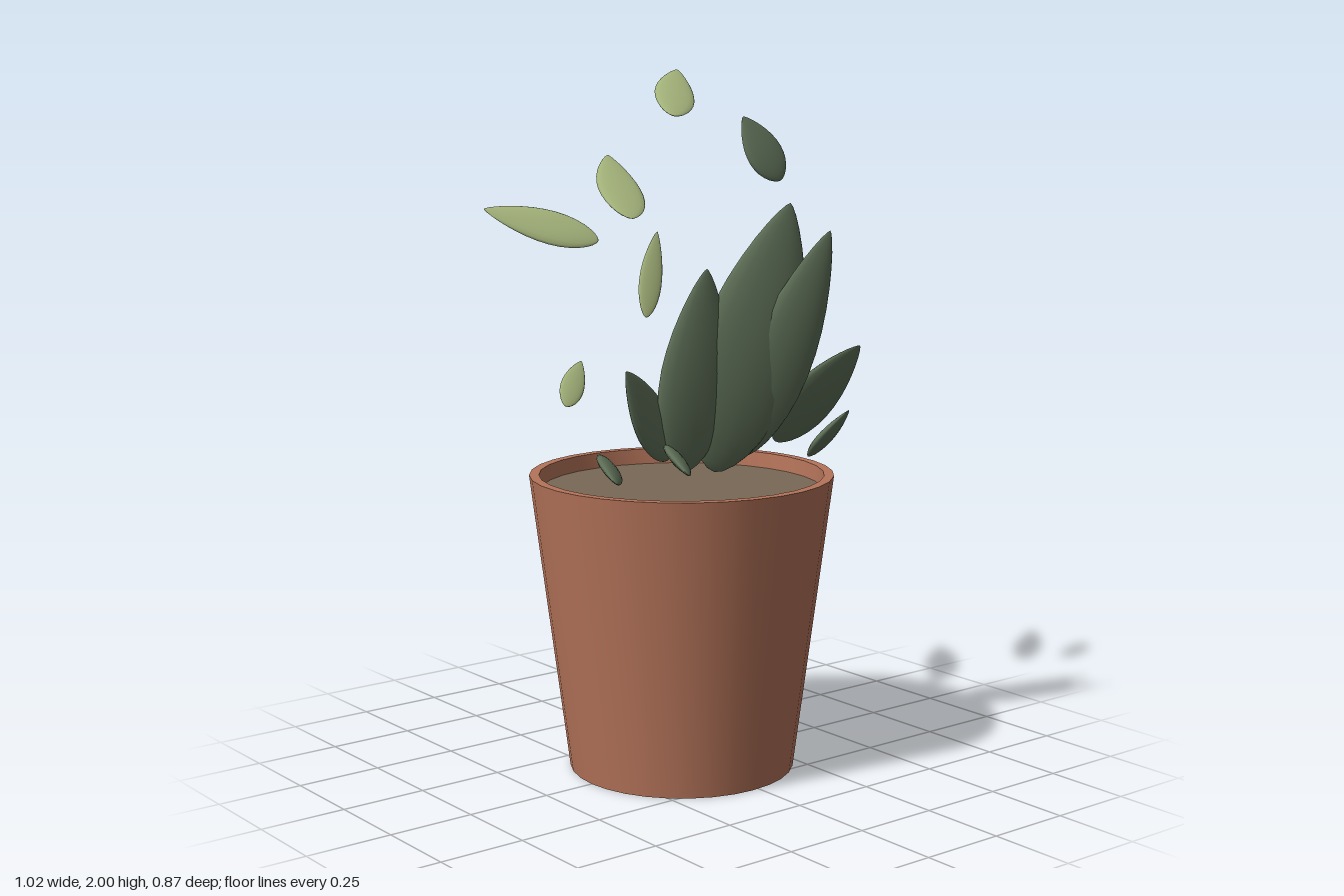
import * as THREE from 'three';
import { mergeVertices, toCreasedNormals } from 'three/addons/utils/BufferGeometryUtils.js';

const mat = (name, color) => {
  const m = new THREE.MeshStandardMaterial({ color });
  m.name = name;
  return m;
};

// A pointed, lens-shaped leaf running from base to tip, its flat face along `facing`
function leaf(name, material, base, tip, facing, width, thickness) {
  const b = new THREE.Vector3(...base);
  const axis = new THREE.Vector3(...tip).sub(b);
  const length = axis.length();
  axis.normalize();
  const n = new THREE.Vector3(...facing);
  n.addScaledVector(axis, -n.dot(axis)).normalize();
  const side = new THREE.Vector3().crossVectors(axis, n);

  let geo = new THREE.SphereGeometry(1, 16, 16);
  const p = geo.attributes.position;
  for (let i = 0; i < p.count; i++) {
    const t = THREE.MathUtils.clamp((p.getY(i) + 1) / 2, 0, 1);
    const r = Math.hypot(p.getX(i), p.getZ(i)) || 1;
    // blunt at the base, widest below the middle, tapering to the tip
    const w = Math.pow(Math.max(0, Math.sin(Math.PI * Math.pow(t, 0.78))), 0.75);
    p.setXYZ(i, (p.getX(i) / r) * w * width / 2, t * length, (p.getZ(i) / r) * w * thickness / 2);
  }
  geo.deleteAttribute('uv');
  geo.deleteAttribute('normal');
  geo = mergeVertices(geo, 1e-5);
  geo.applyMatrix4(new THREE.Matrix4().makeBasis(side, axis, n).setPosition(b));
  geo.computeVertexNormals();
  const mesh = new THREE.Mesh(geo, material);
  mesh.name = name;
  return mesh;
}

export function createModel() {
  const model = new THREE.Group();
  model.name = 'pottedPlant';
  const terracotta = mat('terracotta', 0xb5745a);
  const earth = mat('earth', 0x786857);
  const dark = mat('darkGreen', 0x5f7058);
  const light = mat('lightGreen', 0xa6b57c);

  // Tapered pot with a thin rim
  const profile = [[0, 0], [0.325, 0], [0.436, 0.86], [0.408, 0.86], [0.402, 0.79]]
    .map(([x, y]) => new THREE.Vector2(x, y));
  const pot = new THREE.Mesh(toCreasedNormals(new THREE.LatheGeometry(profile, 32), 0.6), terracotta);
  pot.name = 'pot';
  pot.position.x = -0.02;
  model.add(pot);

  // Soil just below the rim
  const soil = new THREE.Mesh(new THREE.CircleGeometry(0.405, 32), earth);
  soil.name = 'soil';
  soil.rotation.x = -Math.PI / 2;
  soil.position.set(-0.02, 0.815, 0);
  model.add(soil);

  const addLeaves = (groupName, leafName, material, list) => {
    const group = new THREE.Group();
    group.name = groupName;
    list.forEach((args, i) => group.add(leaf(leafName + (i + 1), material, ...args)));
    model.add(group);
  };

  // base, tip, facing, width, thickness
  addLeaves('centralLeaves', 'centralLeaf', dark, [
    [[0.06, 0.86, 0.05], [0.22, 1.63, 0.19], [-0.4, -0.1, 0.9], 0.31, 0.09],
    [[0.15, 0.9, 0.07], [0.285, 1.555, 0.285], [-0.5, -0.2, 0.85], 0.19, 0.06],
    [[-0.04, 0.87, 0.04], [0.0, 1.45, 0.09], [-0.15, -0.1, 0.95], 0.23, 0.07],
    [[-0.08, 0.91, 0.02], [-0.262, 1.18, 0.06], [0.2, 0.2, 0.95], 0.15, 0.04],
  ]);
  addLeaves('lowLeaves', 'lowLeaf', dark, [
    [[0.27, 0.93, 0.07], [0.47, 1.21, 0.215], [0, -0.45, 0.9], 0.21, 0.05],
    [[0.42, 0.865, 0.05], [0.49, 1.01, 0.15], [0.3, -0.6, 0.7], 0.115, 0.035],
    [[-0.35, 0.95, 0.08], [-0.483, 0.93, 0.312], [0.6, 0.75, 0.3], 0.085, 0.03],
    [[-0.127, 0.955, 0.08], [-0.243, 0.925, 0.312], [0.6, 0.75, 0.3], 0.085, 0.03],
  ]);
  addLeaves('upperDarkLeaves', 'upperDarkLeaf', dark, [
    [[0.36, 1.68, -0.015], [0.28, 1.865, -0.092], [0, 0.38, 0.92], 0.145, 0.028],
  ]);
  addLeaves('upperLightLeaves', 'upperLightLeaf', light, [
    [[0.015, 1.87, -0.085], [0.21, 2.0, -0.312], [0, 0.87, 0.49], 0.12, 0.022],
    [[-0.125, 1.585, -0.1], [0.0, 1.752, -0.375], [0, 0.86, 0.5], 0.14, 0.022],
    [[-0.25, 1.53, -0.08], [-0.515, 1.62, -0.252], [-0.25, 0.55, 0.8], 0.11, 0.028],
    [[-0.115, 1.31, -0.043], [0.012, 1.54, -0.153], [0, 0.44, 0.9], 0.075, 0.014],
    [[-0.4, 1.085, -0.033], [-0.283, 1.192, -0.12], [0, 0.64, 0.76], 0.07, 0.014],
  ]);
  return model;
}
